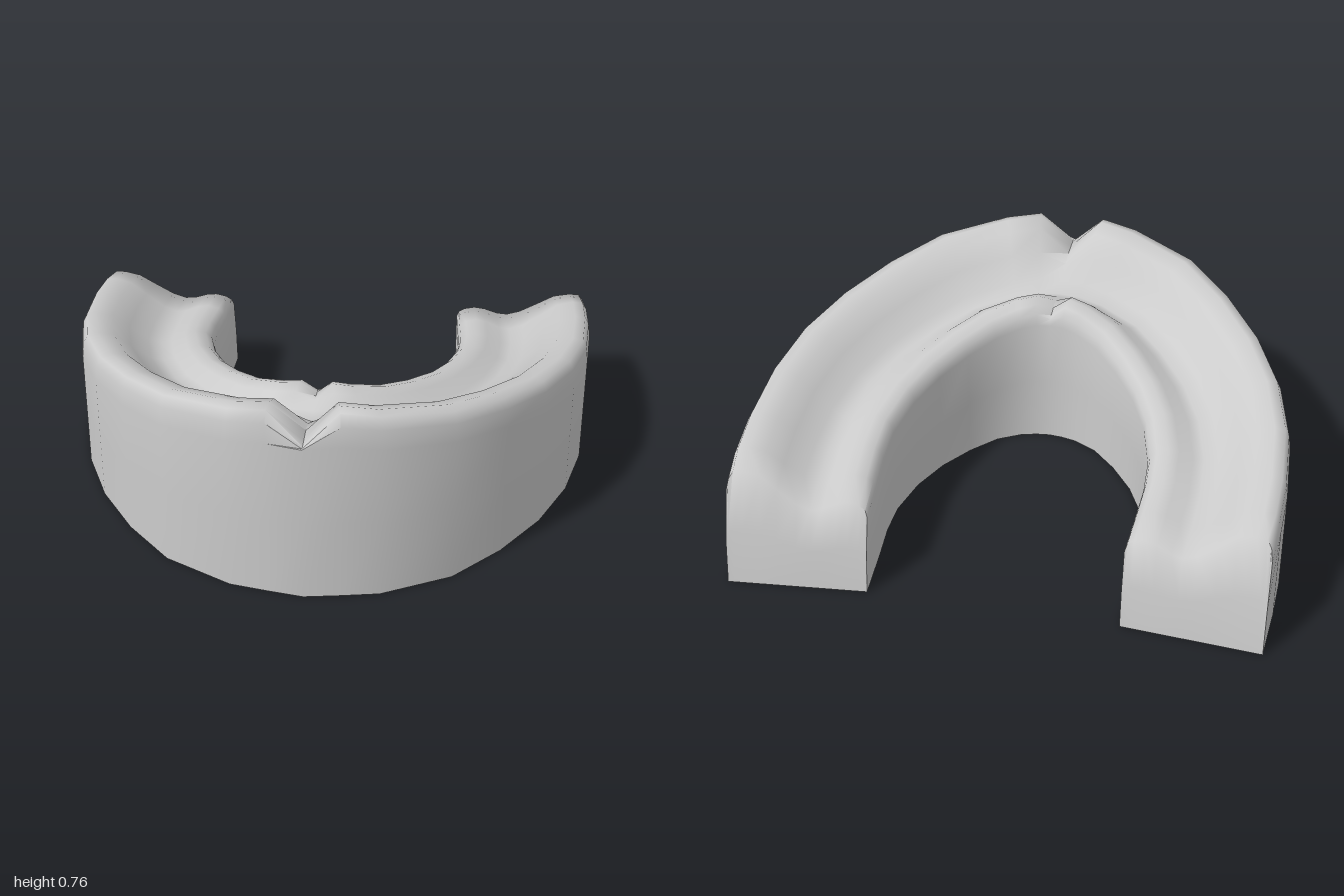
import * as THREE from 'three';
import { toCreasedNormals } from 'three/addons/utils/BufferGeometryUtils.js';

// Half of the arch from the front centre to the open end:
// outer x, outer z, inner x, inner z, rim height
const HALF = [
  [0, 0.815, 0, 0.305, 0.765],
  [0.13, 0.795, 0.05, 0.3, 0.765],
  [0.27, 0.77, 0.11, 0.285, 0.745],
  [0.52, 0.645, 0.2, 0.235, 0.705],
  [0.69, 0.47, 0.29, 0.14, 0.66],
  [0.83, 0.27, 0.375, 0.02, 0.615],
  [0.93, 0.05, 0.44, -0.12, 0.575],
  [0.985, -0.18, 0.48, -0.28, 0.53],
  [1, -0.43, 0.485, -0.41, 0.49],
  [0.995, -0.6, 0.475, -0.56, 0.46],
  [0.98, -0.815, 0.465, -0.77, 0.435],
];

// Top profile from the outer wall to the inner wall: position across, share of the rim height
const TOP = [
  [0, 0.83], [0.015, 0.93], [0.045, 0.99], [0.12, 1], [0.24, 0.97], [0.36, 0.87], [0.5, 0.76],
  [0.6, 0.72], [0.68, 0.735], [0.78, 0.79], [0.86, 0.81], [0.94, 0.79], [0.985, 0.75], [1, 0.69],
];
const NOTCH = 0.63;

// Point of a station at profile column i and fraction f of the height
function pointAt(index, side, i, f) {
  const [ox, oz, ix, iz, rim] = HALF[index];
  const [u, share] = TOP[i];
  let top = rim * share;
  if (index === 0) top = Math.min(top, NOTCH - 0.1 * Math.max(0, u - 0.24));
  const y = top * f;
  // The open ends lean forward as they rise
  const lean = index === HALF.length - 1 ? 0.105 * Math.pow(y / rim, 1.6) : 0;
  return [side * (ox + (ix - ox) * u), y, oz + (iz - oz) * u + lean];
}

function archGeometry() {
  const positions = [];
  const quad = (a, b, c, d) => positions.push(...a, ...b, ...c, ...a, ...c, ...d);

  // Stations run from the right end, round the front, to the left end
  const last = HALF.length - 1;
  const stations = [];
  for (let s = -last; s <= last; s++) stations.push([Math.abs(s), Math.sign(s)]);

  // Closed section: up the outer wall, over the top, down the inner wall
  const n = TOP.length;
  const section = [[0, 0], [0, 0.5], ...TOP.map((_, i) => [i, 1]), [n - 1, 0.5], [n - 1, 0]];
  const rings = stations.map(([k, side]) => section.map(([i, f]) => pointAt(k, side, i, f)));
  for (let s = 0; s < rings.length - 1; s++) {
    const a = rings[s], b = rings[s + 1];
    for (let j = 0; j < a.length; j++) {
      const m = (j + 1) % a.length;
      quad(a[j], b[j], b[m], a[m]);
    }
  }

  // End faces
  for (const side of [-1, 1]) {
    for (let i = 0; i < n - 1; i++) {
      for (const f of [0, 0.5]) {
        const a = pointAt(last, side, i, f), b = pointAt(last, side, i + 1, f);
        const c = pointAt(last, side, i + 1, f + 0.5), d = pointAt(last, side, i, f + 0.5);
        if (side > 0) quad(a, b, c, d);
        else quad(a, d, c, b);
      }
    }
  }

  const geometry = new THREE.BufferGeometry();
  geometry.setAttribute('position', new THREE.Float32BufferAttribute(positions, 3));
  return toCreasedNormals(geometry, 1.3);
}

export function createModel() {
  const group = new THREE.Group();
  group.name = 'mouthguard';
  const arch = new THREE.Mesh(archGeometry(), new THREE.MeshStandardMaterial({ color: 0xcccccc }));
  arch.name = 'archBody';
  group.add(arch);
  return group;
}
